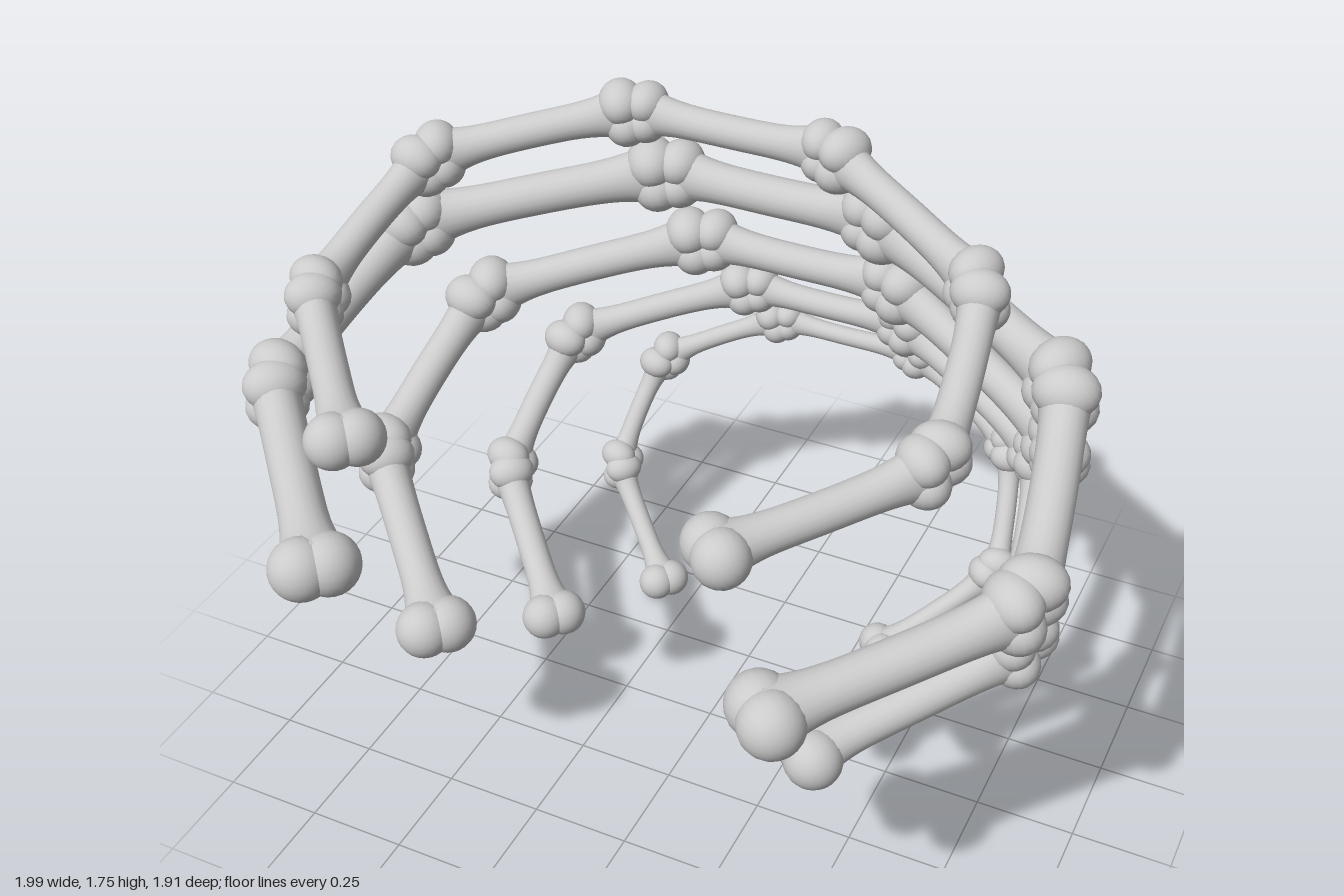
import * as THREE from 'three';
import { mergeVertices } from 'three/addons/utils/BufferGeometryUtils.js';

const material = new THREE.MeshStandardMaterial({ color: 0xcccccc, side: THREE.DoubleSide });
const v = (p, side = 1) => new THREE.Vector3(p[0] * side, p[1], p[2]);

// Shaft: a slightly bowed tube that flares into the knobs at both ends
function makeShaft(ends, bow, radius) {
  const [a, b] = ends.map((e) => e.at);
  const mid = a.clone().lerp(b, 0.5).addScaledVector(bow, 2);
  const curve = new THREE.QuadraticBezierCurve3(a, mid, b);
  const rings = 28, sides = 20;
  const geo = new THREE.TubeGeometry(curve, rings, 1, sides);
  const pos = geo.attributes.position, p = new THREE.Vector3();
  for (let i = 0; i <= rings; i++) {
    const t = i / rings, centre = curve.getPointAt(t);
    const end = ends[t < 0.5 ? 0 : 1];
    const flare = Math.pow(Math.abs(2 * t - 1), 4);
    const r = radius + (end.size * 0.96 - radius) * flare;
    for (let j = 0; j <= sides; j++) {
      const k = i * (sides + 1) + j;
      p.fromBufferAttribute(pos, k).sub(centre).multiplyScalar(r);
      p.addScaledVector(end.axis, p.dot(end.axis) * 0.4 * flare).add(centre);
      pos.setXYZ(k, p.x, p.y, p.z);
    }
  }
  geo.deleteAttribute('uv');
  geo.deleteAttribute('normal');
  const merged = mergeVertices(geo, 1e-5);
  merged.computeVertexNormals();
  return merged;
}

// Bone: shaft plus a pair of rounded knobs at each end
function makeBone(name, start, end, radius, knob, { bow, free = false }) {
  const bone = new THREE.Group();
  bone.name = name;
  const dir = end.clone().sub(start).normalize();
  const level = new THREE.Vector3(0, 1, 0).cross(dir).normalize();
  const upright = dir.clone().cross(level).normalize();
  const joint = { axis: upright, size: knob * 0.86, offset: knob * 0.45, width: 1.22 };
  const ends = [
    { ...joint, at: start.clone().addScaledVector(dir, knob * 0.5) },
    free
      ? { at: end, axis: level, size: knob, offset: knob * 0.42, width: 1.03 }
      : { ...joint, at: end.clone().addScaledVector(dir, -knob * 0.5) },
  ];
  const shaft = new THREE.Mesh(makeShaft(ends, bow, radius), material);
  shaft.name = 'shaft';
  bone.add(shaft);
  for (const { at, axis, size, offset, width } of ends) {
    const across = axis.clone().cross(dir);
    for (const s of [-1, 1]) {
      const mesh = new THREE.Mesh(new THREE.SphereGeometry(size, 20, 14), material);
      mesh.name = 'knob';
      mesh.position.copy(at).addScaledVector(axis, s * offset);
      mesh.quaternion.setFromRotationMatrix(new THREE.Matrix4().makeBasis(across, axis, dir));
      mesh.scale.set(width, 1, 1);
      bone.add(mesh);
    }
  }
  return bone;
}

// Joints of each rib on the +x side, from the back to the open front end
const RIBS = [
  { radius: 0.04, knob: 0.06, joints: [[0.24, 1.68, -0.12], [0.665, 1.57, 0.1], [0.725, 1.41, 0.505], [0.415, 1.35, 0.855]] },
  { radius: 0.051, knob: 0.072, joints: [[0.27, 1.41, -0.34], [0.83, 1.28, -0.055], [0.925, 1.075, 0.44], [0.53, 0.985, 0.87]] },
  { radius: 0.046, knob: 0.069, joints: [[0.26, 1.13, -0.52], [0.785, 0.965, -0.27], [0.855, 0.7, 0.145], [0.485, 0.545, 0.515]] },
  { radius: 0.037, knob: 0.059, joints: [[0.22, 0.88, -0.73], [0.67, 0.715, -0.54], [0.725, 0.435, -0.235], [0.42, 0.26, 0.075]] },
  { radius: 0.027, knob: 0.05, joints: [[0.2, 0.68, -0.9], [0.525, 0.52, -0.8], [0.575, 0.25, -0.6], [0.33, 0.057, -0.39]] },
];

export function createModel() {
  const model = new THREE.Group();
  model.name = 'ribCage';
  RIBS.forEach(({ radius, knob, joints }, i) => {
    const rib = new THREE.Group();
    rib.name = `rib${i + 1}`;
    // Bone across the back
    rib.add(makeBone('backBone', v(joints[0], -1), v(joints[0]), radius * 0.95, knob * 0.9,
      { bow: new THREE.Vector3(0, 0, 0.008) }));
    // Three bones down each side
    for (const side of [1, -1]) {
      const label = side > 0 ? 'left' : 'right';
      ['RearBone', 'SideBone', 'FrontBone'].forEach((part, k) => {
        const free = k === 2;
        const bow = free ? new THREE.Vector3(0, -0.006, 0) : new THREE.Vector3(side * 0.007, 0.004, 0);
        rib.add(makeBone(label + part, v(joints[k], side), v(joints[k + 1], side),
          radius * (free ? 1.06 : 1), knob, { bow, free }));
      });
    }
    model.add(rib);
  });
  return model;
}
